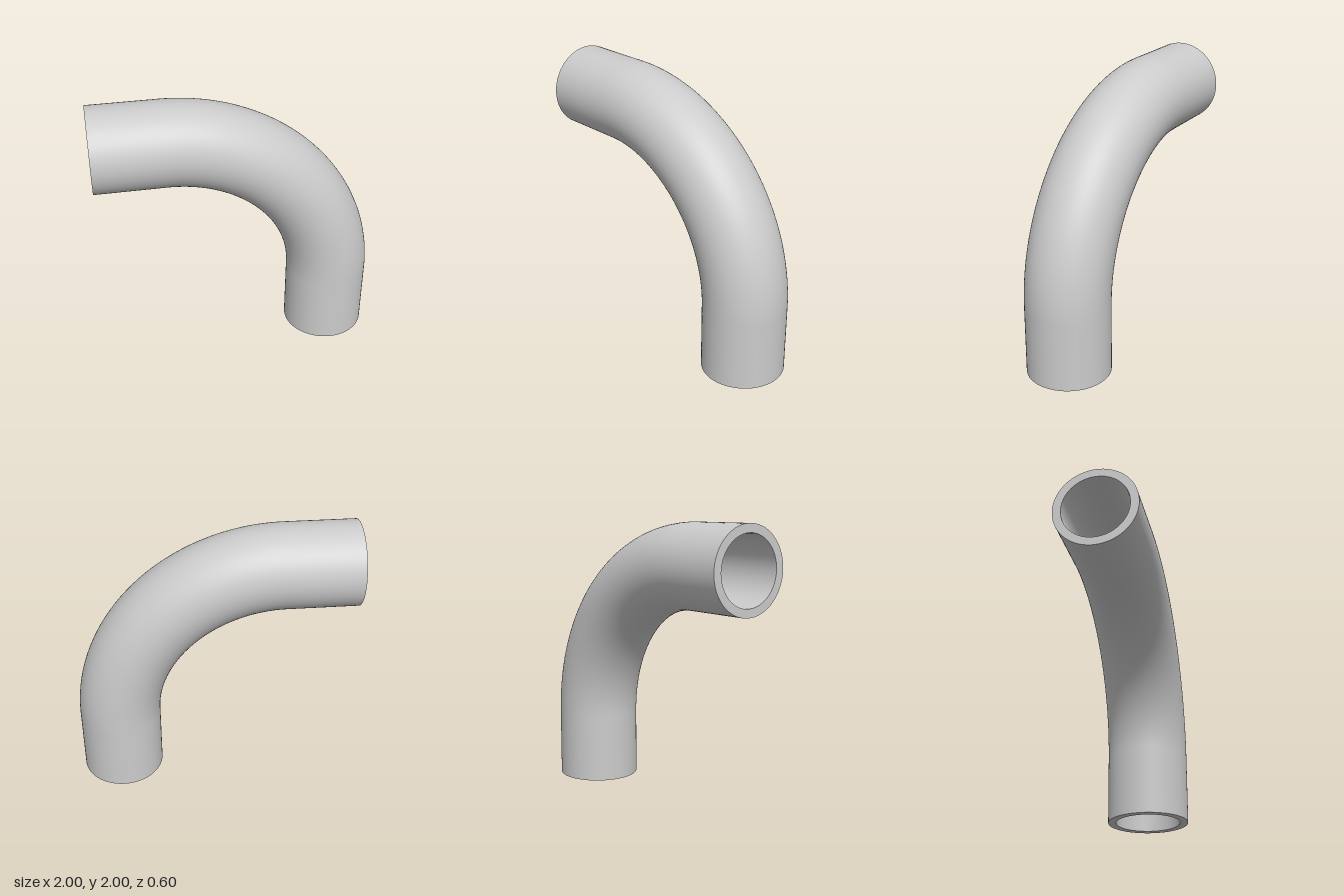
import * as THREE from 'three';

const OUTER = 0.3, INNER = 0.24, BEND = 1.2, STRAIGHT = 0.5, SIDES = 72;

export function createModel() {
  const group = new THREE.Group();
  group.name = 'pipeElbow';
  const solid = new THREE.MeshStandardMaterial({ color: 0xcccccc });
  const bore = new THREE.MeshStandardMaterial({ color: 0xcccccc, side: THREE.DoubleSide });

  const add = (parent, name, geometry, material) => {
    const mesh = new THREE.Mesh(geometry, material);
    mesh.name = name;
    parent.add(mesh);
    return mesh;
  };

  // Quarter-turn bend, outer skin and bore
  for (const [name, r, mat] of [['bendOuter', OUTER, solid], ['bendBore', INNER, bore]]) {
    add(group, name, new THREE.TorusGeometry(BEND, r, SIDES, 64, Math.PI / 2), mat)
      .position.set(-0.5, 0.5, 0);
  }

  // Straight end: local origin at the open mouth, running up +y to the bend
  const straightEnd = (name) => {
    const end = new THREE.Group();
    end.name = name;
    for (const [part, r, mat] of [['Outer', OUTER, solid], ['Bore', INNER, bore]]) {
      const tube = new THREE.CylinderGeometry(r, r, STRAIGHT, SIDES, 1, true);
      add(end, name + part, tube.translate(0, STRAIGHT / 2, 0), mat);
    }
    // Flat annular rim facing out of the mouth
    const rim = new THREE.RingGeometry(INNER, OUTER, SIDES).rotateX(Math.PI / 2);
    add(end, name + 'Rim', rim, solid);
    group.add(end);
    return end;
  };

  straightEnd('lowerEnd').position.set(0.7, 0, 0);
  const upper = straightEnd('upperEnd');
  upper.position.set(-1, 1.7, 0);
  upper.rotation.z = -Math.PI / 2;

  return group;
}
